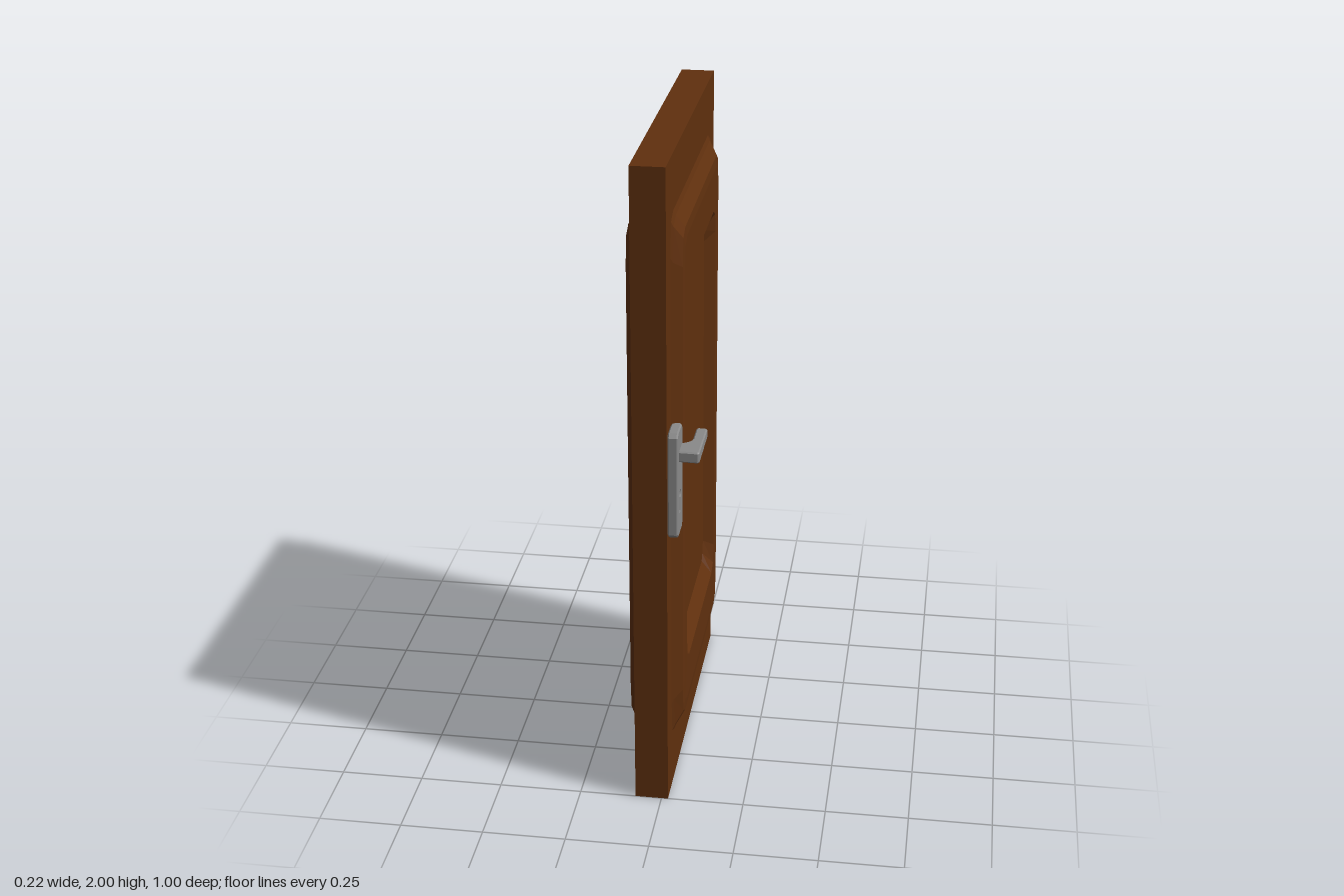
import * as THREE from 'three';

const wood = new THREE.MeshStandardMaterial({ color: 0x60300e });
wood.name = 'brown wood';
const metal = new THREE.MeshStandardMaterial({ color: 0x8a8a8a });
metal.name = 'grey metal';

function part(name, geometry, material) {
  const mesh = new THREE.Mesh(geometry, material);
  mesh.name = name;
  return mesh;
}

// Rounded rectangle loop around the panel centre, counter-clockwise as seen from +x.
function panelLoop({ x, w, h, c }) {
  const corner = [[w, h - c[0]], [w - 0.013, h - 0.02], [w - c[1], h]];
  const loop = [];
  [[1, 1], [-1, 1], [-1, -1], [1, -1]].forEach(([su, sv], i) => {
    const pts = i % 2 ? [...corner].reverse() : corner;
    pts.forEach(([u, v]) => loop.push([x, 1 + v * sv, -u * su]));
  });
  return loop;
}

// Skin a series of loops with flat facets.
function loft(loops) {
  const n = loops[0].length;
  const index = [];
  for (let k = 0; k < loops.length - 1; k++) {
    for (let i = 0; i < n; i++) {
      const j = (i + 1) % n;
      const a = k * n + i, b = k * n + j, c = b + n, d = a + n;
      index.push(a, b, c, a, c, d);
    }
  }
  const g = new THREE.BufferGeometry();
  g.setAttribute('position', new THREE.Float32BufferAttribute(loops.flat(2), 3));
  g.setIndex(index);
  const flat = g.toNonIndexed();
  flat.computeVertexNormals();
  return flat;
}

// Raised moulding: outer slope, flat band, then slope down to the inner panel.
function mouldingGeometry() {
  return loft([
    { x: 0.02, w: 0.418, h: 0.835, c: [0.12, 0.055] },
    { x: 0.026, w: 0.412, h: 0.82, c: [0.12, 0.055] },
    { x: 0.05, w: 0.388, h: 0.78, c: [0.1, 0.05] },
    { x: 0.053, w: 0.365, h: 0.75, c: [0.09, 0.05] },
    { x: 0.052, w: 0.312, h: 0.625, c: [0.08, 0.05] },
    { x: 0.02, w: 0.286, h: 0.58, c: [0.06, 0.03] },
  ].map(panelLoop));
}

// Backplate with a keyhole cut into it.
function plateGeometry() {
  const w = 0.0475, h = 0.165, k = 0.012;
  const shape = new THREE.Shape([
    [w, -h + k], [w, h - k], [w - k, h], [-w + k, h],
    [-w, h - k], [-w, -h + k], [-w + k, -h], [w - k, -h],
  ].map(([u, v]) => new THREE.Vector2(u, v)));
  const hole = new THREE.Path();
  hole.moveTo(-0.005, -0.095);
  hole.lineTo(-0.005, -0.06);
  hole.absarc(0, -0.043, 0.012, Math.PI * 1.37, Math.PI * 1.63, true);
  hole.lineTo(0.005, -0.095);
  shape.holes.push(hole);
  return new THREE.ExtrudeGeometry(shape, {
    depth: 0.022, bevelThickness: 0.004, bevelSize: 0.004,
    bevelOffset: -0.004, bevelSegments: 1, curveSegments: 10,
  }).rotateY(Math.PI / 2);
}

// Slab drawn in plan (x, z) and extruded upward, with chamfered edges.
function planGeometry(shape, height, bevel) {
  return new THREE.ExtrudeGeometry(shape, {
    depth: height - 2 * bevel, bevelThickness: bevel, bevelSize: bevel,
    bevelOffset: -bevel, bevelSegments: 1, curveSegments: 6,
  }).rotateX(-Math.PI / 2).translate(0, bevel - height / 2, 0);
}

function createHandle() {
  const handle = new THREE.Group();
  handle.name = 'handle';

  const plate = part('backplate', plateGeometry(), metal);
  plate.position.set(0.024, 1.05, 0.4425);
  const lock = part('keyholeBack', new THREE.BoxGeometry(0.012, 0.12, 0.05), metal);
  lock.position.set(0.026, 0.99, 0.4425);

  // Neck leaving the plate and sweeping into the grip
  const neckShape = new THREE.Shape();
  neckShape.moveTo(0.045, -0.462);
  neckShape.lineTo(0.103, -0.464);
  neckShape.lineTo(0.108, -0.46);
  neckShape.lineTo(0.108, -0.366);
  neckShape.lineTo(0.076, -0.366);
  neckShape.quadraticCurveTo(0.073, -0.39, 0.045, -0.4);
  const neck = part('neck', planGeometry(neckShape, 0.034, 0.004), metal);
  neck.position.y = 1.134;

  // Grip reaching toward the panel
  const gripShape = new THREE.Shape([
    [0.076, -0.372], [0.108, -0.372], [0.108, -0.29],
    [0.104, -0.285], [0.08, -0.285], [0.076, -0.29],
  ].map(([x, y]) => new THREE.Vector2(x, y)));
  const grip = part('grip', planGeometry(gripShape, 0.03, 0.004), metal);
  grip.position.y = 1.134;

  handle.add(plate, lock, neck, grip);
  return handle;
}

export function createModel() {
  const door = new THREE.Group();
  door.name = 'door';

  const slab = part('slab', new THREE.BoxGeometry(0.1, 2, 1), wood);
  slab.position.set(-0.03, 1, 0);

  // The same moulding on both faces of the slab
  const moulding = mouldingGeometry();
  const right = part('rightMoulding', moulding, wood);
  const left = part('leftMoulding', moulding, wood);
  left.rotation.y = Math.PI;
  left.position.x = -0.06;

  door.add(slab, right, left, createHandle());
  return door;
}
